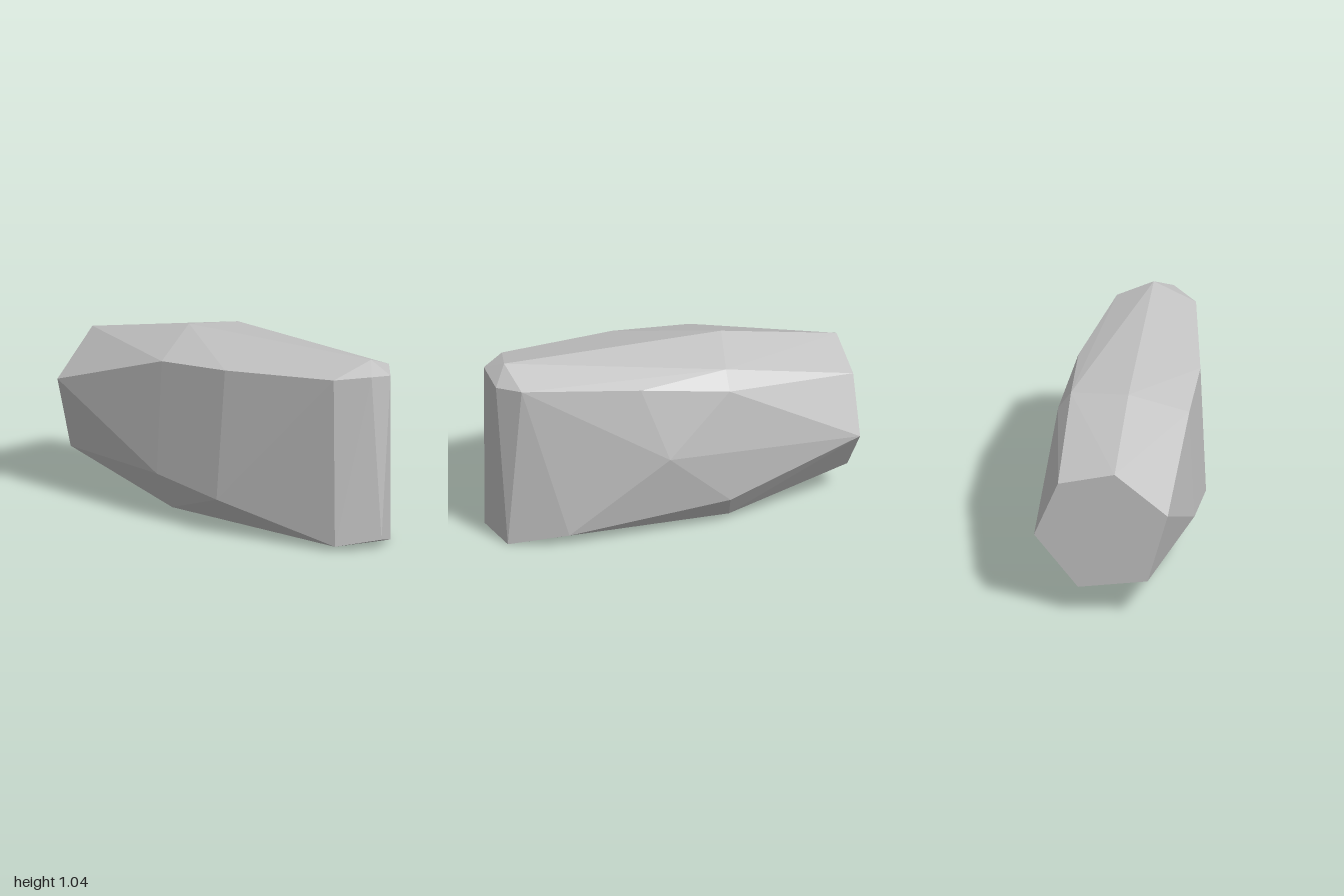
import * as THREE from 'three';
import { ConvexGeometry } from 'three/addons/geometries/ConvexGeometry.js';

// Corners [x, y, z] of a faceted boulder, ordered from back to front
const backCut = [
  [0.36, 0.47], [0.23, 0.79], [-0.08, 0.87], [-0.37, 0.64], [-0.26, 0.235], [0.12, 0.17],
].map(([x, y]) => [x, y, -1]);

const middleRing = [
  [-0.05, 1.01, -0.34], [0.275, 0.96, -0.27], [0.345, 0.86, -0.27], [0.36, 0.195, -0.27],
  [0.23, 0.035, -0.3], [-0.26, 0.035, -0.28], [-0.4, 0.26, -0.27], [-0.37, 0.89, -0.26],
];

const shoulderRing = [
  [0.313, 0.93, 0.22], [0.395, 0.52, 0.08], [0.27, 0.07, 0.61],
  [-0.395, 0.197, 0.15], [-0.36, 0.925, 0.18],
];

const frontNose = [
  [0.01, 1.045, 0.9], [0.205, 0.967, 0.86], [0.09, 0.95, 0.97], [-0.085, 0.985, 0.985],
  [-0.23, 0.972, 0.84], [-0.22, 0.03, 0.84], [-0.02, 0.055, 1], [0.147, 0, 0.92],
];

export function createModel() {
  const stone = new THREE.MeshStandardMaterial({ color: 0xc4c4c4 });
  stone.name = 'stone grey';
  stone.flatShading = true;

  // The flat facets are the hull around all the rings
  const corners = [...backCut, ...middleRing, ...shoulderRing, ...frontNose]
    .map((p) => new THREE.Vector3(...p));
  const boulder = new THREE.Mesh(new ConvexGeometry(corners), stone);
  boulder.name = 'boulder';

  const group = new THREE.Group();
  group.name = 'rock';
  group.add(boulder);
  return group;
}
